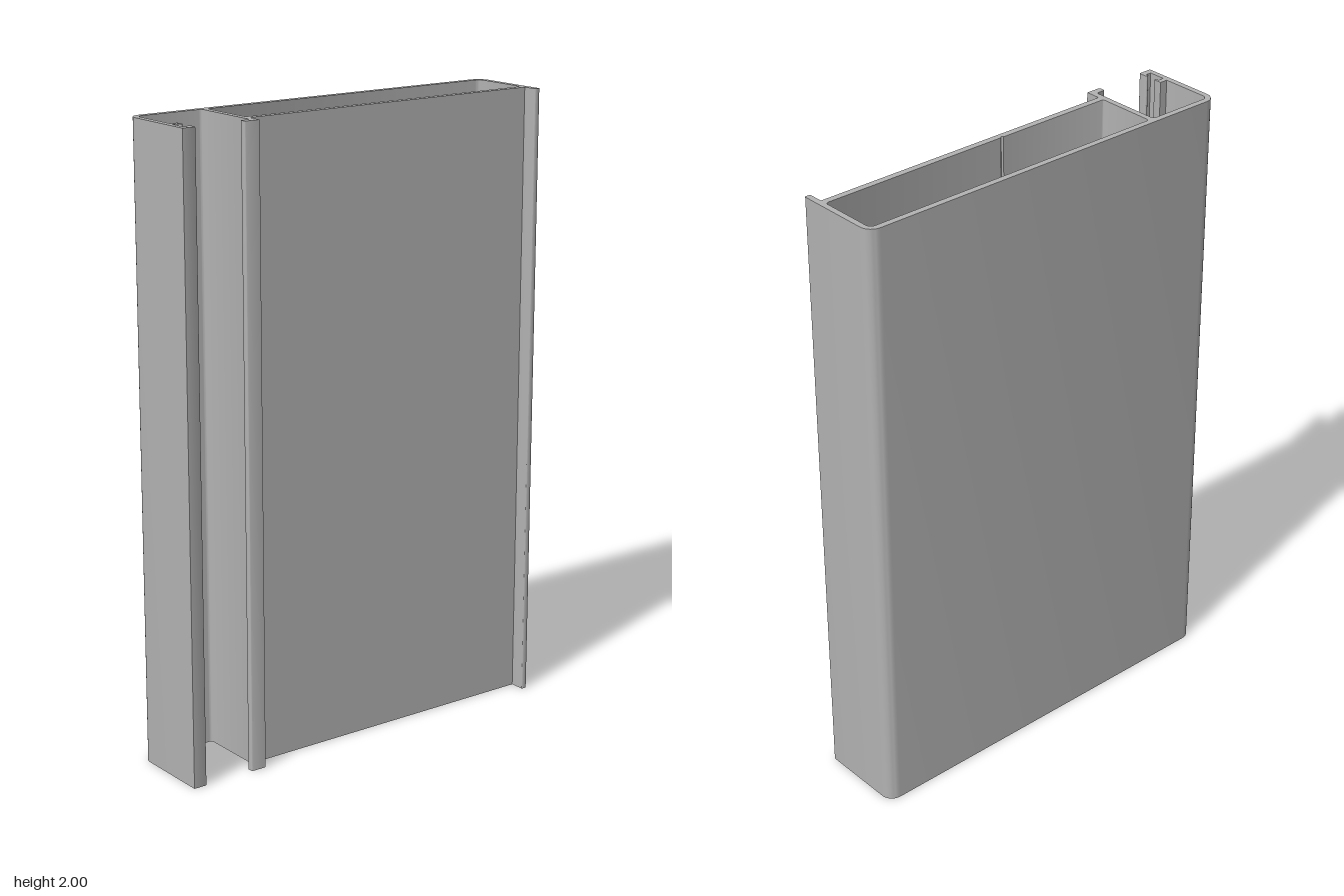
import * as THREE from 'three';
import { toCreasedNormals } from 'three/addons/utils/BufferGeometryUtils.js';

const LENGTH = 2;

// Traces a closed path through [x, z, cornerRadius] points, rounding the corners that have a radius.
function trace(path, points) {
  const n = points.length;
  points.forEach(([x, z, r = 0], i) => {
    const p = new THREE.Vector2(x, -z);
    const toward = ([qx, qz], d) =>
      new THREE.Vector2(qx, -qz).sub(p).normalize().multiplyScalar(d).add(p);
    const prev = points[(i + n - 1) % n], next = points[(i + 1) % n];
    const a = toward(prev, r);
    if (i === 0) path.moveTo(a.x, a.y);
    else path.lineTo(a.x, a.y);
    if (r > 0) {
      const b = toward(next, r);
      const c1 = toward(prev, r * 0.448), c2 = toward(next, r * 0.448);
      path.bezierCurveTo(c1.x, c1.y, c2.x, c2.y, b.x, b.y);
    }
  });
  path.closePath();
  return path;
}

export function createModel() {
  const aluminium = new THREE.MeshStandardMaterial({ color: 0xb2b2b2 });
  aluminium.name = 'aluminium grey';

  const section = trace(new THREE.Shape(), [
    // outer shell
    [-0.665, 0.143], [-0.665, -0.143, 0.04], [0.665, -0.143, 0.04], [0.665, 0.143, 0.004],
    // right lip and front wall
    [0.646, 0.143, 0.004], [0.646, 0.094], [-0.402, 0.094],
    // divider foot
    [-0.402, 0.143], [-0.453, 0.143, 0.008], [-0.453, 0.121, 0.004], [-0.421, 0.121, 0.006],
    // open channel
    [-0.421, -0.123, 0.012], [-0.646, -0.123, 0.018],
    // upper hook
    [-0.646, 0.05], [-0.62, 0.05], [-0.62, 0.079, 0.004], [-0.629, 0.079, 0.004], [-0.629, 0.067],
    // groove and lower hook
    [-0.648, 0.067], [-0.648, 0.122], [-0.629, 0.122], [-0.629, 0.111, 0.004],
    [-0.62, 0.111, 0.004], [-0.62, 0.143, 0.004],
  ]);

  // closed chamber, with a small centring groove in its front wall
  section.holes.push(trace(new THREE.Path(), [
    [-0.402, -0.123, 0.01], [-0.402, 0.073, 0.005],
    [-0.005, 0.073], [0, 0.078], [0.005, 0.073],
    [0.646, 0.073, 0.01], [0.646, -0.123, 0.018],
  ]));

  const geometry = new THREE.ExtrudeGeometry(section, {
    depth: LENGTH, bevelEnabled: false, curveSegments: 8,
  });
  geometry.rotateX(-Math.PI / 2); // stand the extrusion upright

  const profile = new THREE.Mesh(toCreasedNormals(geometry, 0.5), aluminium);
  profile.name = 'extrudedProfile';

  const model = new THREE.Group();
  model.name = 'hollowFrameProfile';
  model.add(profile);
  return model;
}
